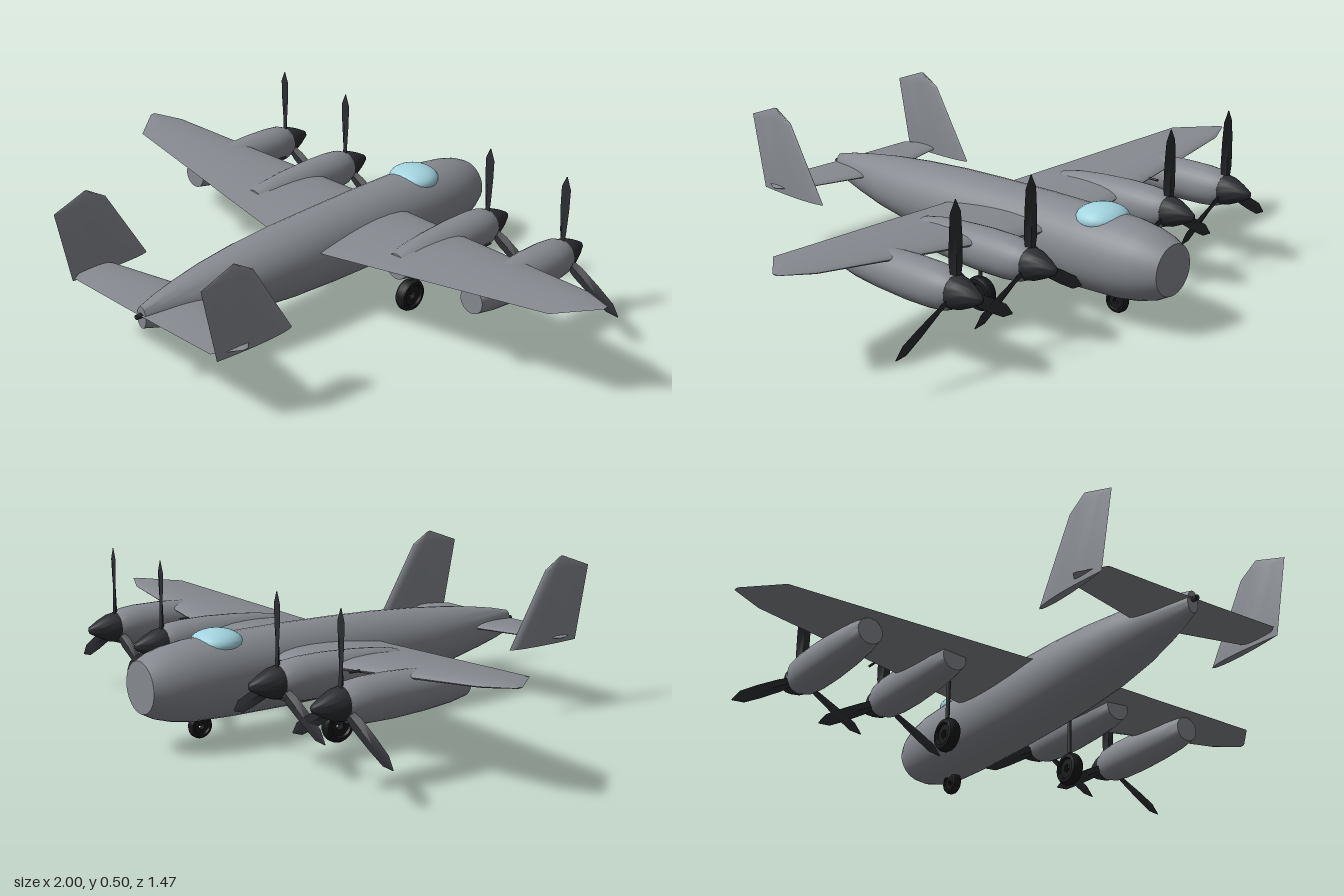
import * as THREE from 'three';
import { toCreasedNormals } from 'three/addons/utils/BufferGeometryUtils.js';

const mat = (color) => new THREE.MeshStandardMaterial({ color });
const skin = mat(0x868a90), dark = mat(0x2b2d31), rubber = mat(0x18191b), glass = mat(0xa3d4e0);

// Skins a closed body over rings of equal point count; ends are capped.
function loft(rings, crease) {
  const n = rings[0].length, pos = [], idx = [];
  rings.forEach((r) => r.forEach((p) => pos.push(...p)));
  for (let i = 0; i < rings.length - 1; i++) {
    for (let j = 0; j < n; j++) {
      const a = i * n + j, b = i * n + (j + 1) % n;
      idx.push(a, b, a + n, b, b + n, a + n);
    }
  }
  [rings[0], rings[rings.length - 1]].forEach((r, e) => {
    const base = pos.length / 3;
    r.forEach((p) => pos.push(...p));
    for (let j = 1; j < n - 1; j++) {
      idx.push(base, base + (e ? j : j + 1), base + (e ? j + 1 : j));
    }
  });
  // Turn all faces outward if the enclosed volume comes out negative
  const v = (k) => new THREE.Vector3().fromArray(pos, k * 3);
  let volume = 0;
  for (let i = 0; i < idx.length; i += 3) volume += v(idx[i]).dot(v(idx[i + 1]).cross(v(idx[i + 2])));
  if (volume < 0) idx.reverse();
  const g = new THREE.BufferGeometry();
  g.setAttribute('position', new THREE.Float32BufferAttribute(pos, 3));
  g.setIndex(idx);
  g.computeVertexNormals();
  return crease ? toCreasedNormals(g, crease) : g;
}

// Airfoil section: list of [chord fraction, thickness offset]
const foil = [];
for (let i = 0; i < 20; i++) {
  const a = (i / 20) * Math.PI * 2;
  const c = (1 - Math.cos(a)) / 2;
  foil.push([c, Math.sign(Math.sin(a)) * 1.3 * Math.sqrt(c) * (1 - c) * (i % 10 ? 1 : 0)]);
}
// Stations [x, y, leading z, trailing z, thickness] are mirrored across the span
function span(stations) {
  const all = [...stations.slice().reverse().map(([x, ...s]) => [-x, ...s]), ...stations];
  return loft(all.map(([x, y, le, te, t]) => foil.map(([c, o]) => [x, y + o * t, le + (te - le) * c])), 0.6);
}

// Body of revolution along z from [radius, z] points
function turned(points, segments = 28) {
  const g = new THREE.LatheGeometry(points.map(([r, z]) => new THREE.Vector2(r, z)), segments);
  return toCreasedNormals(g.rotateX(Math.PI / 2), 0.7);
}

function add(parent, name, geometry, material, x = 0, y = 0, z = 0) {
  const m = new THREE.Mesh(geometry, material);
  m.name = name;
  m.position.set(x, y, z);
  parent.add(m);
  return m;
}

// Tyre with an open hub, axle along x
function wheelGeometry(r, w) {
  const p = [[0.25, -0.3], [0.6, -0.3], [0.68, -0.5], [0.88, -0.45], [1, -0.18], [1, 0.18],
    [0.88, 0.45], [0.68, 0.5], [0.6, 0.3], [0.25, 0.3], [0.25, -0.3]];
  const g = new THREE.LatheGeometry(p.map(([a, b]) => new THREE.Vector2(a * r, b * w)), 28);
  return toCreasedNormals(g.rotateZ(Math.PI / 2), 0.7);
}

function landingGear(name, x, z, r, w, top) {
  const gear = new THREE.Group();
  gear.name = name;
  gear.position.set(x, 0, z);
  add(gear, 'wheel', wheelGeometry(r, w), rubber, 0, r, 0);
  add(gear, 'strut', new THREE.CylinderGeometry(0.008, 0.006, top - r, 10), dark, 0, (top + r) / 2, 0);
  return gear;
}

// Twisted blade rising along y: [height, half width, half thickness, twist]
const bladeGeometry = loft([
  [0.02, 0.012, 0.008, 0.6], [0.08, 0.02, 0.006, 0.45], [0.16, 0.021, 0.004, 0.25],
  [0.225, 0.019, 0.003, 0.12], [0.262, 0.002, 0.001, 0.05],
].map(([y, w, t, a]) => [[1, 0], [0, 1], [-1, 0], [0, -1]].map(([u, v]) => [
  u * w * Math.cos(a) - v * t * Math.sin(a), y, u * w * Math.sin(a) + v * t * Math.cos(a)])), 0.5);

const nacelleGeometry = turned([[0, -0.475], [0.05, -0.475], [0.06, -0.45], [0.065, -0.4],
  [0.066, -0.31], [0.061, -0.2], [0.053, -0.11], [0.042, -0.05], [0, -0.05]]);
const spinnerGeometry = turned([[0, -0.575], [0.012, -0.568], [0.03, -0.535], [0.045, -0.5],
  [0.05, -0.47], [0.047, -0.455], [0, -0.455]]);

function engine(x) {
  const g = new THREE.Group();
  g.name = 'engine';
  g.position.set(x, 0.24, 0);
  add(g, 'nacelle', nacelleGeometry, skin);
  add(g, 'spinner', spinnerGeometry, dark);
  for (let i = 0; i < 3; i++) {
    add(g, 'propellerBlade', bladeGeometry, dark, 0, 0, -0.475).rotation.z = (i * Math.PI * 2) / 3;
  }
  return g;
}

export function createModel() {
  const plane = new THREE.Group();
  plane.name = 'airplane';

  // Fuselage sections: [z, bottom, top, half width]
  const body = [
    [-0.738, 0.12, 0.278, 0.08], [-0.7, 0.1, 0.296, 0.097], [-0.65, 0.085, 0.309, 0.111],
    [-0.58, 0.074, 0.319, 0.122], [-0.45, 0.07, 0.324, 0.126], [-0.25, 0.07, 0.327, 0.124],
    [-0.05, 0.075, 0.326, 0.12], [0.12, 0.085, 0.322, 0.118], [0.28, 0.102, 0.313, 0.11],
    [0.42, 0.124, 0.301, 0.092], [0.54, 0.149, 0.286, 0.065], [0.62, 0.168, 0.273, 0.043],
    [0.685, 0.187, 0.258, 0.02],
  ];
  add(plane, 'fuselage', loft(body.map(([z, b, t, w]) => Array.from({ length: 36 }, (_, i) => {
    const a = (i / 36) * Math.PI * 2;
    return [Math.cos(a) * w, (b + t) / 2 + Math.sin(a) * (t - b) / 2, z];
  })), 0.7), skin);

  // Cockpit glazing and tail end
  add(plane, 'canopy', new THREE.SphereGeometry(1, 24, 16).scale(0.084, 0.042, 0.08), glass, 0, 0.3, -0.475);
  add(plane, 'tailStub', new THREE.CylinderGeometry(0.008, 0.008, 0.03, 10).rotateX(Math.PI / 2), dark, 0, 0.23, 0.69);

  // Main wing with dihedral and clipped tips
  add(plane, 'wing', span([
    [0.06, 0.248, -0.34, 0.074, 0.05], [0.13, 0.25, -0.337, 0.064, 0.05], [0.9, 0.308, -0.235, -0.05, 0.018],
    [1, 0.316, -0.19, -0.17, 0.003],
  ]), skin);

  // Tailplane and twin fins
  add(plane, 'tailplane', span([
    [0.02, 0.232, 0.475, 0.692, 0.022], [0.08, 0.232, 0.49, 0.692, 0.022],
    [0.31, 0.234, 0.545, 0.692, 0.014], [0.36, 0.235, 0.595, 0.61, 0.003],
  ]), skin);
  const finGeometry = loft([
    [0.215, 0.4, 0.685], [0.455, 0.545, 0.735], [0.495, 0.612, 0.622],
  ].map(([y, le, te], i) => foil.map(([c, o]) => [o * [0.026, 0.02, 0.004][i], y, le + (te - le) * c])), 0.6);

  for (const s of [-1, 1]) {
    add(plane, 'fin', finGeometry, skin, s * 0.33);
    plane.add(engine(s * 0.32), engine(s * 0.62));
    plane.add(landingGear('mainGear', s * 0.24, -0.205, 0.054, 0.04, 0.25));
    add(plane, 'wingProbe', new THREE.CylinderGeometry(0.004, 0.004, 0.06, 8).rotateX(Math.PI / 2),
      dark, s * 0.46, 0.274, -0.295);
  }
  plane.add(landingGear('noseGear', 0, -0.538, 0.038, 0.03, 0.1));
  plane.children[plane.children.length - 1].position.y = 0.015;
  return plane;
}
